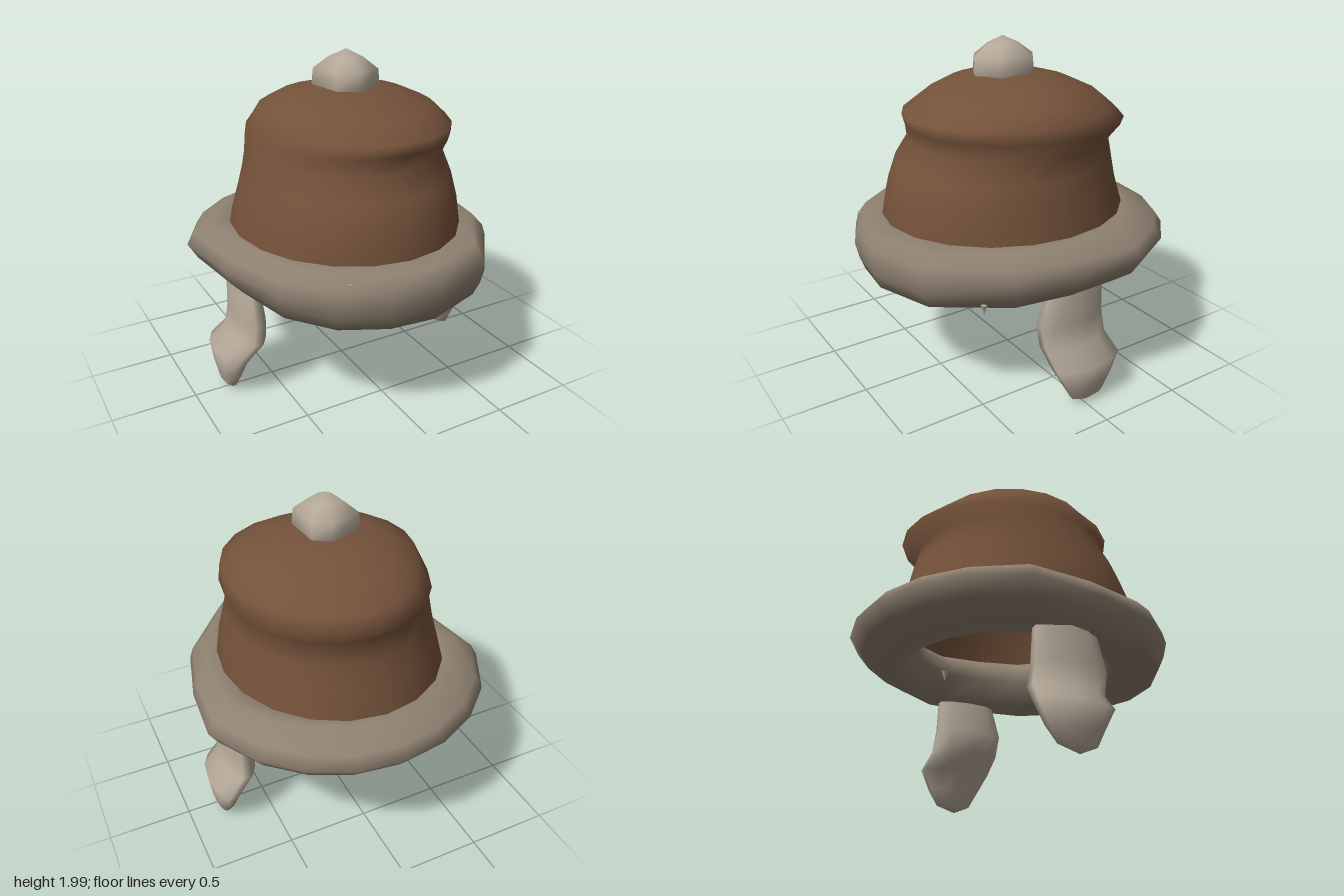
import * as THREE from 'three';
import { mergeVertices } from 'three/addons/utils/BufferGeometryUtils.js';

// Skin a list of rings (each a list of [x, y, z]) with smooth normals
function loft(rings) {
  const n = rings[0].length, index = [];
  for (let i = 0; i < rings.length - 1; i++) {
    for (let j = 0; j < n; j++) {
      const a = i * n + j, b = i * n + (j + 1) % n;
      index.push(a, a + n, b, b, a + n, b + n);
    }
  }
  let g = new THREE.BufferGeometry();
  g.setAttribute('position', new THREE.Float32BufferAttribute(rings.flat(2), 3));
  g.setIndex(index);
  g = mergeVertices(g, 1e-4);
  g.computeVertexNormals();
  return g;
}

// Ellipse ring fitted between its extents
function ellipse(y, x0, x1, z0, z1, n) {
  return Array.from({ length: n }, (_, j) => {
    const a = (j / n) * Math.PI * 2;
    return [(x0 + x1) / 2 + (x1 - x0) / 2 * Math.cos(a), y, (z0 + z1) / 2 + (z1 - z0) / 2 * Math.sin(a)];
  });
}

export function createModel() {
  const model = new THREE.Group();
  const mat = (name, color, side = THREE.FrontSide) => {
    const m = new THREE.MeshStandardMaterial({ color, side });
    m.name = name;
    return m;
  };
  const leather = mat('brown leather', 0x74523a, THREE.DoubleSide);
  const fur = mat('grey fur', 0x8e8171);
  const paleFur = mat('pale fur', 0xb5a999);
  const add = (name, geometry, material) => {
    const mesh = new THREE.Mesh(geometry, material);
    mesh.name = name;
    model.add(mesh);
    return mesh;
  };

  // Crown: slouched shell with a fold near the top, open below
  const crown = [
    // y, x min, x max, z min, z max
    [0.85, -0.69, 0.69, -0.73, 0.78],
    [1.00, -0.68, 0.67, -0.71, 0.77],
    [1.17, -0.64, 0.64, -0.65, 0.74],
    [1.31, -0.60, 0.61, -0.62, 0.69],
    [1.43, -0.57, 0.585, -0.59, 0.60],
    [1.53, -0.54, 0.635, -0.68, 0.63],
    [1.60, -0.52, 0.61, -0.60, 0.65],
    [1.68, -0.48, 0.54, -0.50, 0.50],
    [1.75, -0.36, 0.38, -0.35, 0.34],
    [1.79, -0.22, 0.23, -0.20, 0.20],
    [1.80, 0, 0, 0, 0],
  ];
  add('crown', loft(crown.map((r) => ellipse(...r, 20))), leather);

  // Brim: thick rolled ring on an egg-shaped outline, steeper in front
  const outline = [
    [0, -0.95], [0.28, -0.91], [0.52, -0.79], [0.72, -0.6], [0.885, -0.29], [0.855, 0.08],
    [0.76, 0.45], [0.45, 0.83], [0.08, 0.945], [-0.2, 0.92], [-0.47, 0.8], [-0.69, 0.55],
    [-0.82, 0.15], [-0.885, -0.3], [-0.72, -0.6], [-0.51, -0.79], [-0.26, -0.91],
  ];
  const section = [
    // scale of the outline, y, extra scale toward the front
    [0.85, 0.69, 0.1], [0.95, 0.77, 0.03], [1, 0.86, 0], [0.965, 0.93, 0.02], [0.86, 1.0, 0.08],
    [0.7, 1.0, 0], [0.6, 0.93, 0], [0.58, 0.83, 0], [0.66, 0.69, 0], [0.85, 0.69, 0.1],
  ];
  add('brim', loft(section.map(([s, y, f]) => outline.map(([x, z]) => {
    const k = s + f * z / 0.95;
    return [x * k, y, z * k];
  }))), fur);

  // Pompom: faceted knob with an off-centre peak
  const hexagon = [[0.05, -0.15], [0.15, -0.08], [0.165, 0.15], [0, 0.225], [-0.12, 0.16], [-0.155, -0.07]];
  const knob = [[0.8, 1.72], [1, 1.8], [0.95, 1.89], [0.5, 1.955], [0, 2.0]];
  add('pompom', loft(knob.map(([s, y]) => hexagon.map(([x, z]) =>
    [0.01 + (x - 0.01) * s, y, 0.04 + (z - 0.04) * s]))), paleFur);

  // Ear flaps: kinked outward at the bottom, mirrored left and right
  const flap = [
    // y, inner x, outer x, z min, z max
    [0.01, 0.78, 0.78, -0.02, -0.02],
    [0.05, 0.74, 0.82, -0.14, 0.08],
    [0.14, 0.70, 0.84, -0.20, 0.13],
    [0.26, 0.67, 0.855, -0.26, 0.20],
    [0.36, 0.56, 0.76, -0.23, 0.21],
    [0.50, 0.57, 0.74, -0.21, 0.235],
    [0.70, 0.59, 0.73, -0.20, 0.18],
    [0.80, 0.62, 0.71, -0.14, 0.12],
    [0.80, 0.66, 0.66, 0, 0],
  ];
  for (const [name, s] of [['leftEarFlap', 1], ['rightEarFlap', -1]]) {
    const rings = flap.map(([y, xi, xo, z0, z1]) =>
      ellipse(y, Math.min(s * xi, s * xo), Math.max(s * xi, s * xo), z0, z1, 10));
    add(name, loft(rings), paleFur);
  }

  // Small tufts poking out of the brim
  const tufts = [
    [[-0.39, 0.96, 0.79], [-0.5, 0.3, 0.8]],
    [[0.61, 0.69, 0.55], [0, -1, 0]],
    [[0.2, 0.69, -0.34], [0, -1, 0]],
  ];
  for (const [p, d] of tufts) {
    const tuft = add('furTuft', new THREE.ConeGeometry(0.022, 0.06, 4), paleFur);
    tuft.position.set(...p);
    tuft.quaternion.setFromUnitVectors(new THREE.Vector3(0, 1, 0), new THREE.Vector3(...d).normalize());
  }
  return model;
}
